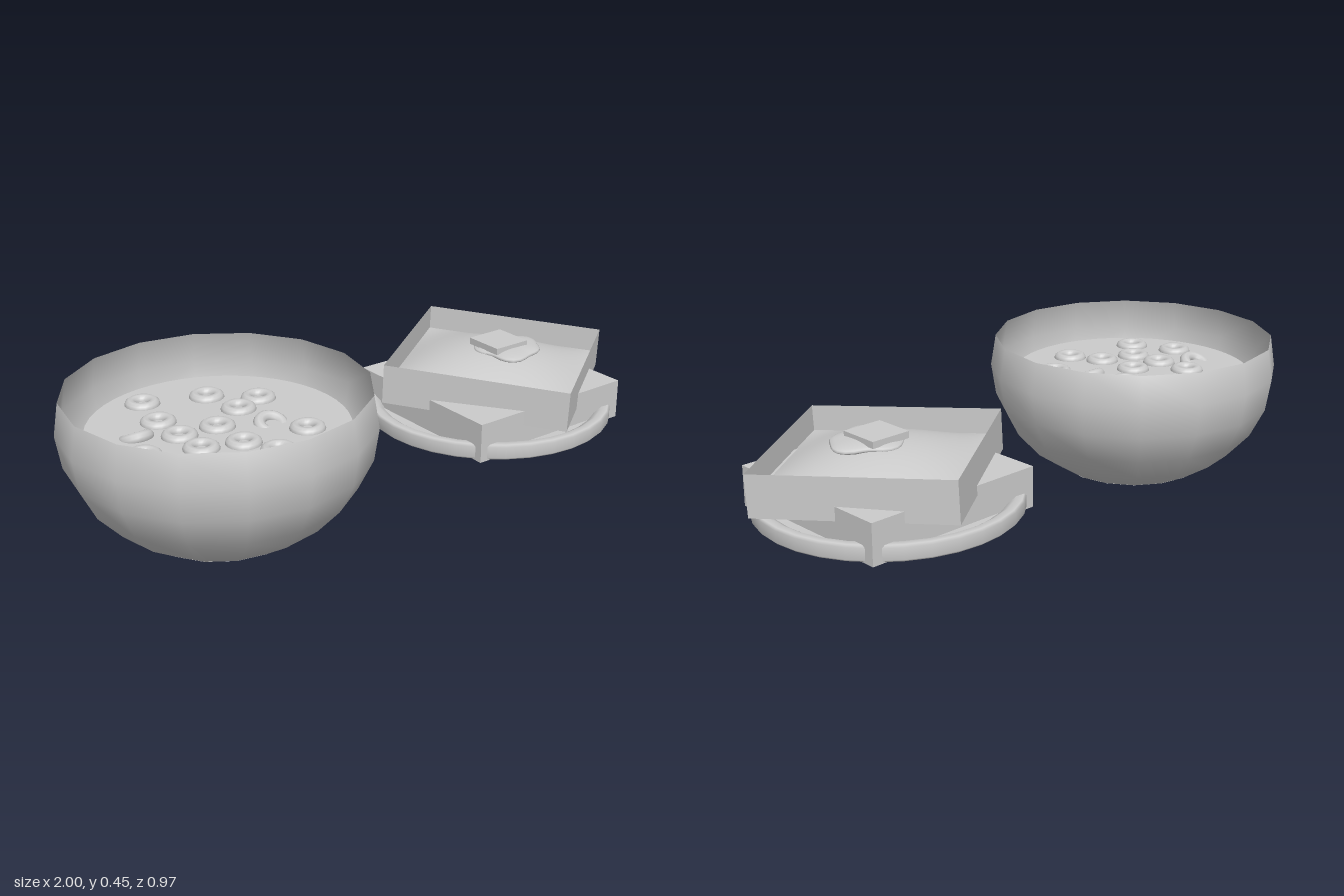
import * as THREE from 'three';

export function createModel() {
  const model = new THREE.Group();
  const grey = new THREE.MeshStandardMaterial({ color: 0xcccccc });
  const greyThin = new THREE.MeshStandardMaterial({ color: 0xcccccc, side: THREE.DoubleSide });

  function add(parent, name, geometry, x, y, z, material = grey) {
    const mesh = new THREE.Mesh(geometry, material);
    mesh.name = name;
    mesh.position.set(x, y, z);
    parent.add(mesh);
    return mesh;
  }

  function lathe(points, sides) {
    return new THREE.LatheGeometry(points.map(([r, y]) => new THREE.Vector2(r, y)), sides);
  }

  // Bowl: a band of a squashed sphere, with a hollow foot
  const bowl = new THREE.Group();
  bowl.name = 'cerealBowl';
  bowl.position.x = -0.515;
  model.add(bowl);
  const deg = Math.PI / 180;
  const shell = new THREE.SphereGeometry(0.485, 16, 5, 0, Math.PI * 2, 75 * deg, 75 * deg);
  shell.scale(1, 0.833, 1);
  add(bowl, 'bowlShell', shell, 0, 0.35, 0, greyThin);
  const foot = lathe([[0.243, 0], [0.2, 0], [0.188, 0.04], [0.17, 0.075], [0, 0.08]], 16);
  add(bowl, 'bowlFoot', foot, 0, 0, 0, greyThin);

  // Milk surface
  add(bowl, 'milk', new THREE.CircleGeometry(0.402, 48).rotateX(-Math.PI / 2), 0, 0.33, 0, greyThin);

  // Cereal rings: x, z, tilt (the tilted ones are half sunk in the milk)
  const ring = new THREE.TorusGeometry(0.037, 0.019, 10, 20).rotateX(Math.PI / 2);
  const spots = [
    [-0.1, -0.285, 0], [0.09, -0.215, 0], [-0.132, -0.132, 0], [0.213, -0.108, 0],
    [0.117, -0.073, 0], [-0.132, -0.007, 0], [-0.007, 0.003, 0], [-0.285, 0.052, 0],
    [-0.127, 0.107, 0], [-0.007, 0.147, 0], [-0.222, 0.198, 0], [0.202, 0.174, 0],
    [0.044, 0.253, 0], [-0.235, -0.085, -0.45], [0.14, 0.072, 0.4],
  ];
  for (const [x, z, tilt] of spots) {
    const piece = add(bowl, 'cerealRing', ring, x, tilt ? 0.322 : 0.329, z);
    piece.rotation.x = tilt;
  }

  // Plate: flat underside, upright edge and rounded rim
  const plate = lathe([
    [0, 0.123], [0.408, 0.123], [0.415, 0.13], [0.415, 0.167], [0.409, 0.174],
    [0.388, 0.175], [0.367, 0.162], [0.357, 0.142], [0, 0.14],
  ], 32);
  add(model, 'plate', plate, 0.539, 0, 0.036);

  // Lower slice, square to the plate
  const size = 0.614;
  add(model, 'lowerSlice', new THREE.BoxGeometry(size, 0.131, size), 0.542, 0.1865, 0.036);

  // Upper slice, turned and slightly tipped
  const slice = new THREE.Group();
  slice.name = 'upperSlice';
  slice.position.set(0.569, 0.21, 0.028);
  slice.rotation.set(0.04, 0.62, 0, 'YXZ');
  model.add(slice);
  add(slice, 'sliceBase', new THREE.BoxGeometry(size, 0.046, size), 0, 0.023, 0);

  // Gently domed top surface inside the crust
  const top = new THREE.PlaneGeometry(size, size, 20, 20).rotateX(-Math.PI / 2);
  const p = top.attributes.position;
  for (let i = 0; i < p.count; i++) {
    const u = p.getX(i) / (size / 2);
    const v = p.getZ(i) / (size / 2);
    p.setY(i, 0.085 * (1 - u * u) * (1 - v * v));
  }
  top.computeVertexNormals();
  add(slice, 'sliceTop', top, 0, 0.05, 0);

  // Raised crust on all four sides
  for (let i = 0; i < 4; i++) {
    const wall = new THREE.PlaneGeometry(size, 0.087).translate(0, 0, -size / 2);
    add(slice, 'sliceCrust', wall.rotateY(i * Math.PI / 2), 0, 0.0895, 0, greyThin);
  }

  // Butter pat on an uneven melted pool
  const pool = new THREE.SphereGeometry(1, 32, 12);
  const q = pool.attributes.position;
  for (let i = 0; i < q.count; i++) {
    const angle = Math.atan2(q.getZ(i), q.getX(i));
    const r = 0.112 + 0.012 * Math.cos(3 * angle) - 0.008 * Math.sin(5 * angle);
    q.setXYZ(i, q.getX(i) * r, q.getY(i) * 0.018, q.getZ(i) * r);
  }
  pool.computeVertexNormals();
  add(model, 'meltedButter', pool, 0.6, 0.341, 0.06);
  add(model, 'butter', new THREE.BoxGeometry(0.136, 0.022, 0.136), 0.578, 0.36, 0.037);

  return model;
}
